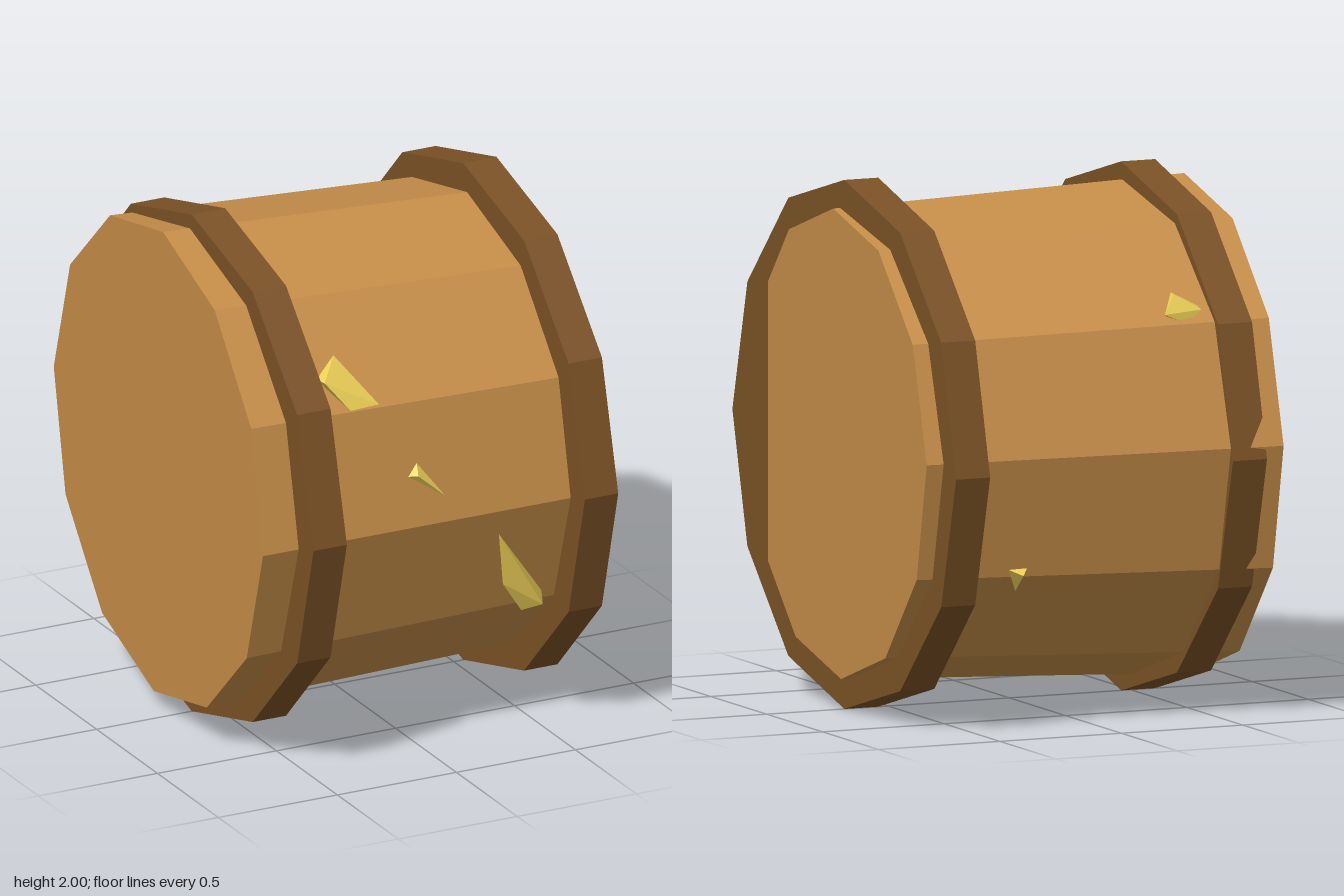
import * as THREE from 'three';
import { ConvexGeometry } from 'three/addons/geometries/ConvexGeometry.js';

const paint = (color) => new THREE.MeshStandardMaterial({ color, flatShading: true });

// Twelve-sided drum lying along x
function drum(name, rLeft, rRight, length, material) {
  const geometry = new THREE.CylinderGeometry(rRight, rLeft, length, 12);
  geometry.rotateZ(-Math.PI / 2);
  const mesh = new THREE.Mesh(geometry, material);
  mesh.name = name;
  return mesh;
}

export function createModel() {
  const group = new THREE.Group();
  const wood = paint(0xc68e49);
  const band = paint(0x7b5226);
  const gold = paint(0xf0d358);

  // Tapered body, slightly rolled and turned out of line with the bands
  const body = drum('body', 0.94, 0.885, 1.42, wood);
  body.geometry.rotateX(THREE.MathUtils.degToRad(2.5));
  body.rotation.y = -0.043;
  body.position.set(0, 1.004, -0.03);
  group.add(body);

  // Two solid bands
  for (const [name, x] of [['rightBand', -0.53], ['leftBand', 0.61]]) {
    const ring = drum(name, 1, 1, 0.14, band);
    ring.position.set(x, 1, 0);
    group.add(ring);
  }

  // Angular nuggets half buried in the body
  const nuggets = {
    upperFrontNugget: [
      [-0.42, 1.55, 0.74], [-0.42, 1.54, 0.67], [-0.33, 1.61, 0.635],
      [-0.21, 1.44, 0.775], [-0.335, 1.44, 0.785], [-0.32, 1.5, 0.62],
    ],
    middleFrontNugget: [
      [-0.12, 1.155, 0.84], [-0.08, 1.2, 0.83], [0.025, 1.06, 0.86],
      [-0.09, 1.16, 0.865], [-0.07, 1.14, 0.8],
    ],
    lowerFrontNugget: [
      [0.25, 0.865, 0.86], [0.29, 0.64, 0.815], [0.38, 0.51, 0.79],
      [0.445, 0.54, 0.84], [0.47, 0.57, 0.78], [0.36, 0.65, 0.74],
    ],
    upperBackNugget: [
      [-0.42, 1.55, -0.805], [-0.42, 1.56, -0.77], [-0.33, 1.61, -0.725], [-0.32, 1.61, -0.775],
      [-0.265, 1.54, -0.815], [-0.36, 1.5, -0.81], [-0.33, 1.5, -0.72],
    ],
    lowerBackNugget: [
      [0.31, 0.62, -0.83], [0.39, 0.62, -0.84], [0.35, 0.6, -0.885],
      [0.34, 0.53, -0.79], [0.35, 0.6, -0.77],
    ],
  };
  for (const [name, points] of Object.entries(nuggets)) {
    const geometry = new ConvexGeometry(points.map((p) => new THREE.Vector3(...p)));
    const mesh = new THREE.Mesh(geometry, gold);
    mesh.name = name;
    group.add(mesh);
  }
  return group;
}
